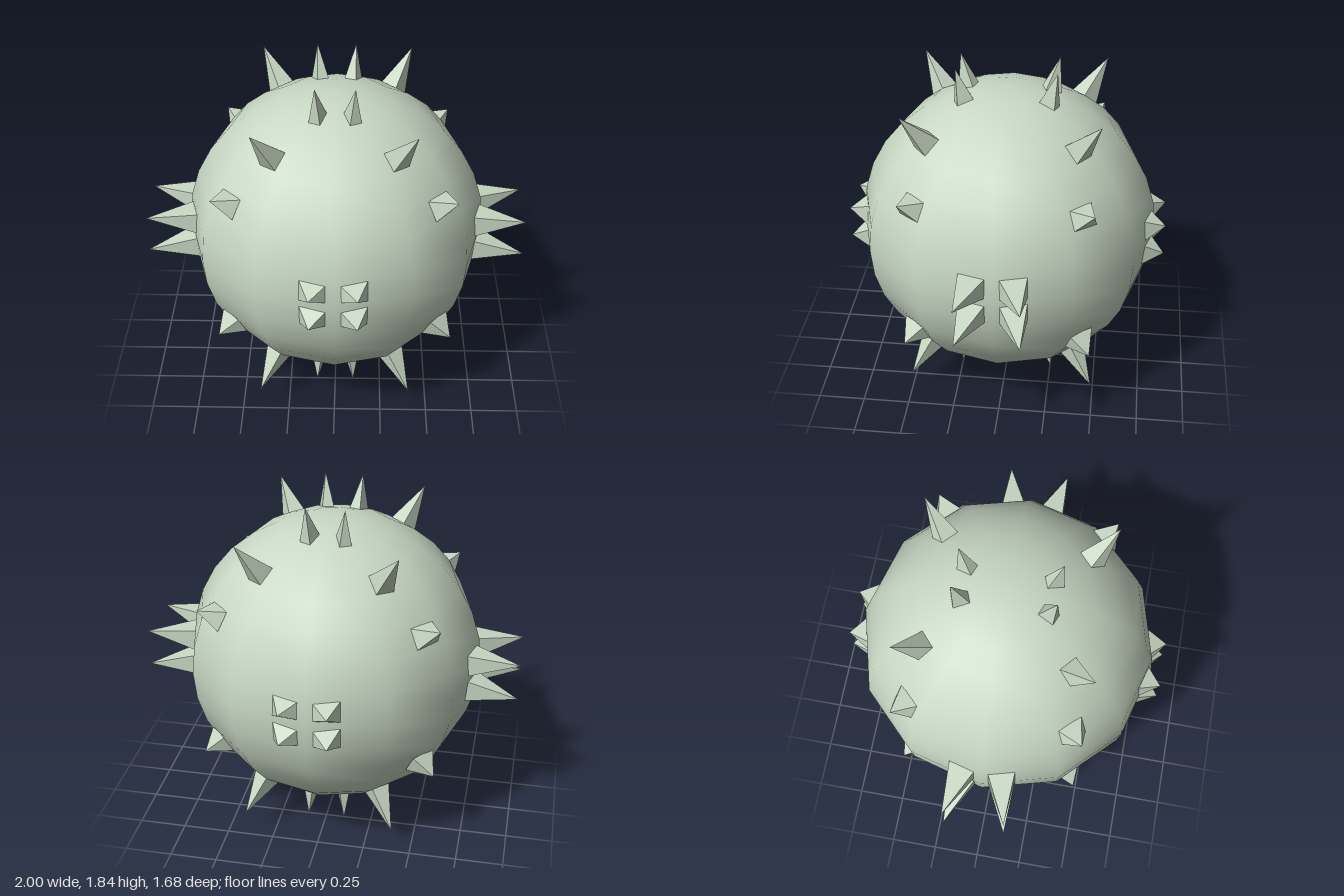
import * as THREE from 'three';

const CENTRE_Y = 0.92;

// Spikes of one octant: tip, base centre, base width (around) and depth (up and down)
const SPIKES = [
  { name: 'sideSpike', tip: [1, 0.1, 0.16], base: [0.74, 0.075, 0.1], w: 0.145, d: 0.115 },
  { name: 'frontBackSpike', tip: [0.12, 0.085, 0.84], base: [0.095, 0.075, 0.74], w: 0.15, d: 0.115 },
  { name: 'cornerSpike', tip: [0.61, 0.42, 0.48], base: [0.525, 0.365, 0.415], w: 0.14, d: 0.11 },
  { name: 'upperSpike', tip: [0.4, 0.79, 0.49], base: [0.295, 0.595, 0.37], w: 0.105, d: 0.11 },
  { name: 'poleSpike', tip: [0.1, 0.92, 0.255], base: [0.085, 0.72, 0.21], w: 0.07, d: 0.1 },
];

// Four-sided spike with its square base lying across the radius
function spike({ name, tip, base, w, d }, [sx, sy, sz], material) {
  const sign = new THREE.Vector3(sx, sy, sz);
  const b = new THREE.Vector3(...base).multiply(sign);
  const t = new THREE.Vector3(...tip).multiply(sign);
  const n = b.clone().normalize();
  const u = new THREE.Vector3(0, 1, 0).cross(n).normalize();
  const v = u.clone().cross(n);
  const geometry = new THREE.ConeGeometry(Math.SQRT1_2, 1, 4, 1, true);
  geometry.rotateY(Math.PI / 4).translate(0, 0.5, 0);
  const matrix = new THREE.Matrix4()
    .makeBasis(u.multiplyScalar(w), t.sub(b), v.multiplyScalar(d))
    .setPosition(b);
  geometry.applyMatrix4(matrix);
  const mesh = new THREE.Mesh(geometry, material);
  mesh.name = name;
  return mesh;
}

export function createModel() {
  const group = new THREE.Group();
  group.name = 'spikedBall';
  const color = 0xc8d8c4;
  const smooth = new THREE.MeshStandardMaterial({ color });
  const flat = new THREE.MeshStandardMaterial({ color, flatShading: true });

  // Body: twelve sides around, rounder from pole to pole
  const ball = new THREE.Mesh(new THREE.SphereGeometry(0.785, 12, 16), smooth);
  ball.name = 'ball';
  group.add(ball);

  // Spikes mirrored into all eight octants
  for (const sx of [1, -1])
    for (const sy of [1, -1])
      for (const sz of [1, -1])
        for (const s of SPIKES) group.add(spike(s, [sx, sy, sz], flat));

  // Two low studs under the ball
  const stud = { name: 'lowStud', tip: [0.235, 0.755, 0], base: [0.225, 0.725, 0], w: 0.17, d: 0.13 };
  for (const sx of [1, -1]) group.add(spike(stud, [sx, -1, 1], flat));

  group.children.forEach((m) => (m.position.y = CENTRE_Y));
  return group;
}
